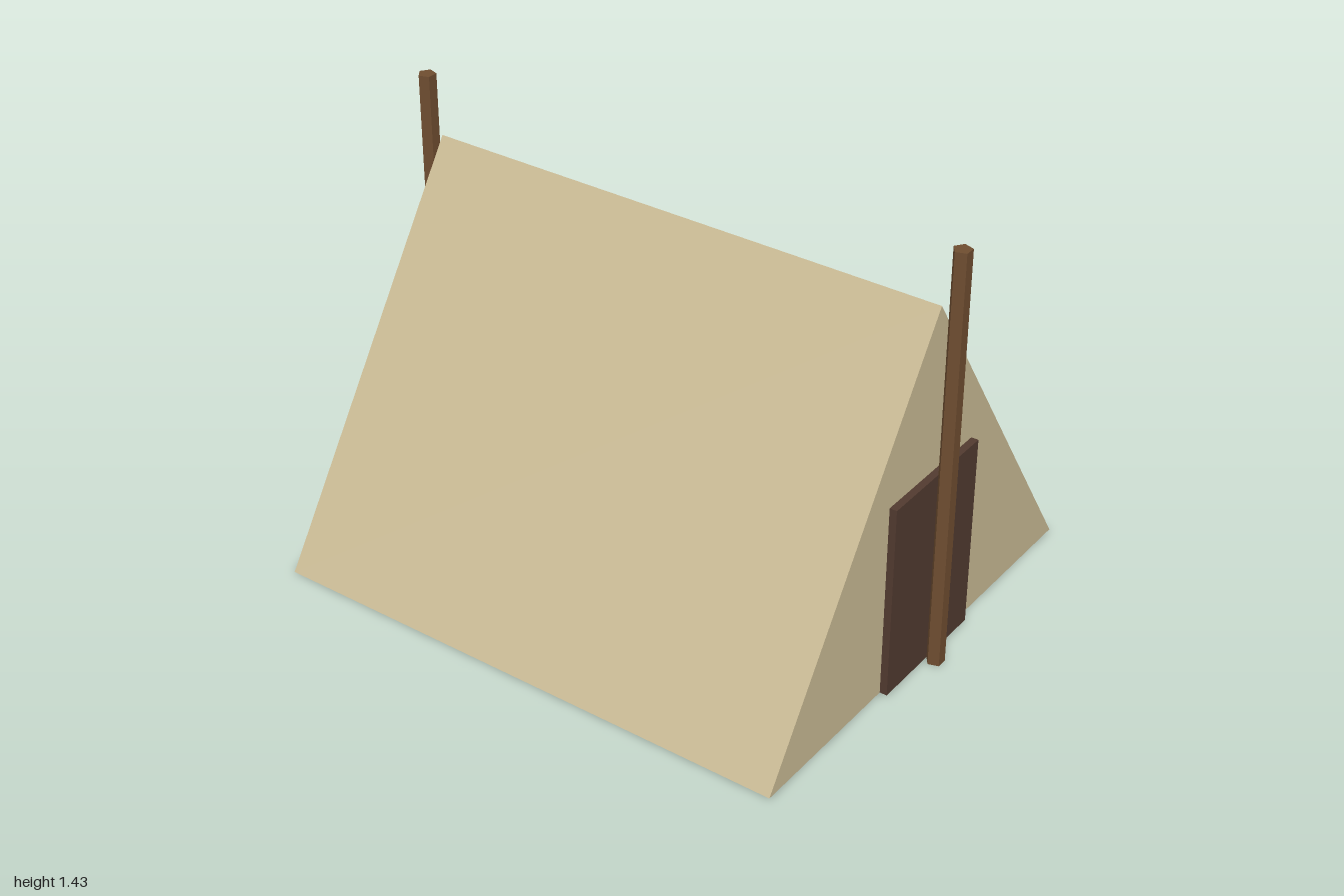
import * as THREE from 'three';

const material = (name, color) => {
  const m = new THREE.MeshStandardMaterial({ color, flatShading: true });
  m.name = name;
  return m;
};

export function createModel() {
  const group = new THREE.Group();
  const canvas = material('canvas tan', 0xc8b993);
  const wood = material('pole brown', 0x6e4d30);
  const dark = material('door brown', 0x513a2f);

  const add = (name, geometry, mat, x, y, z) => {
    const mesh = new THREE.Mesh(geometry, mat);
    mesh.name = name;
    mesh.position.set(x, y, z);
    group.add(mesh);
    return mesh;
  };

  // Tent body: triangular prism with closed ends and floor
  const triangle = new THREE.Shape([
    new THREE.Vector2(-0.817, 0),
    new THREE.Vector2(0.817, 0),
    new THREE.Vector2(0, 1.23),
  ]);
  const body = new THREE.ExtrudeGeometry(triangle, { depth: 1.84, bevelEnabled: false });
  add('tentBody', body, canvas, 0, 0, -0.918);

  // Door panel on the front wall
  add('door', new THREE.BoxGeometry(0.46, 0.67, 0.025), dark, 0, 0.335, 0.934);

  // Five-sided poles, flat side to the front
  const pole = new THREE.CylinderGeometry(0.03, 0.03, 1.43, 5);
  pole.rotateY(Math.PI);
  add('frontPole', pole, wood, 0, 0.715, 0.976);
  add('backPole', pole, wood, 0, 0.715, -0.97);

  return group;
}
